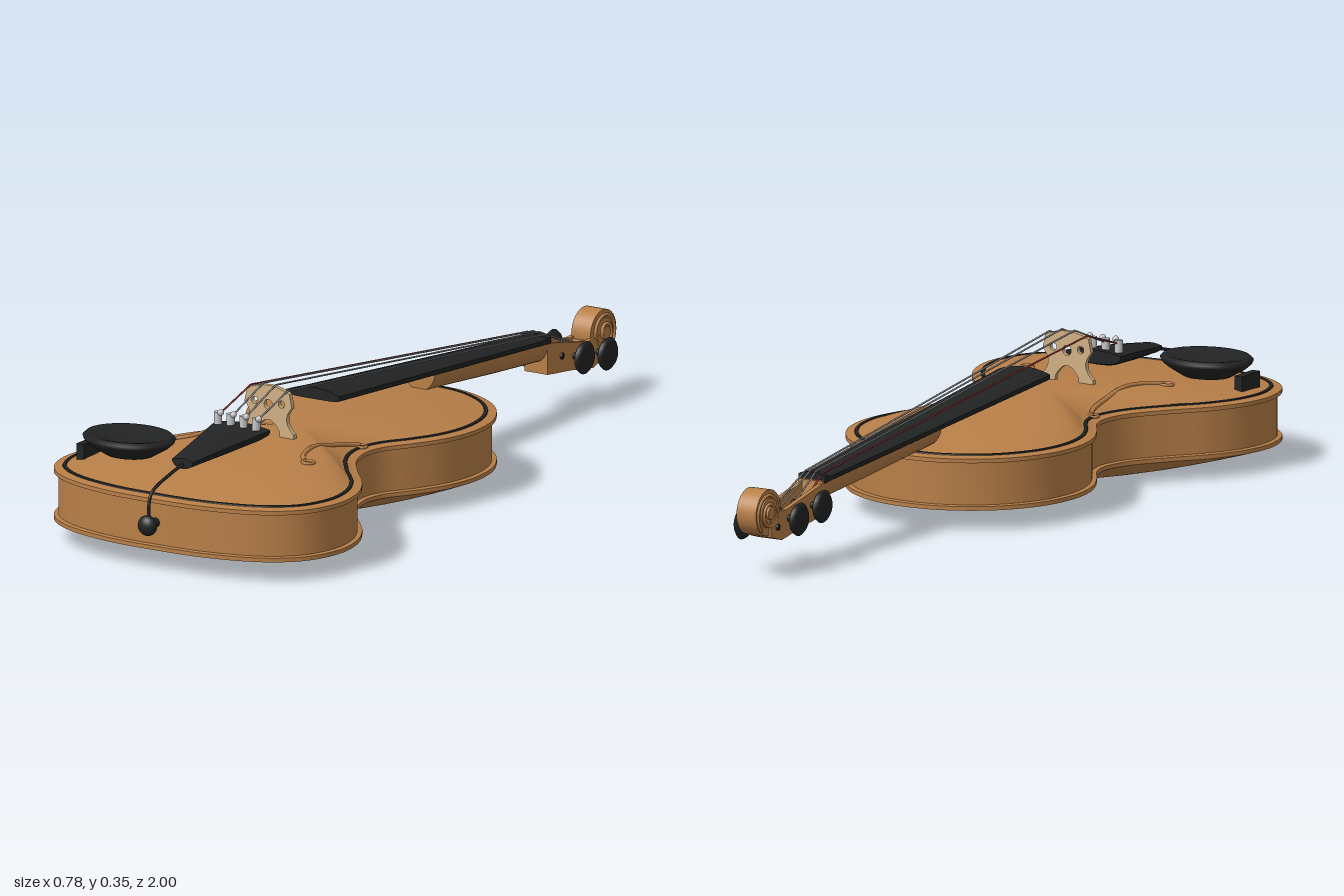
import * as THREE from 'three';
import { toCreasedNormals } from 'three/addons/utils/BufferGeometryUtils.js';

const V = (x, y, z) => new THREE.Vector3(x, y, z);
const paint = (name, color) => {
  const m = new THREE.MeshStandardMaterial({ color });
  m.name = name;
  return m;
};

// Skin a stack of closed rings; optional fan caps at both ends.
function loft(rings, caps = true, crease = 0.6) {
  const n = rings[0].length, pos = [], idx = [];
  rings.flat().forEach(p => pos.push(p.x, p.y, p.z));
  for (let i = 0; i < rings.length - 1; i++)
    for (let j = 0; j < n; j++) {
      const k = (j + 1) % n, a = i * n + j, b = i * n + k;
      idx.push(a, b, a + n, b, b + n, a + n);
    }
  if (caps) [0, rings.length - 1].forEach((r, end) => {
    const c = rings[r].reduce((s, p) => s.add(p), V(0, 0, 0)).divideScalar(n);
    const ci = pos.length / 3;
    pos.push(c.x, c.y, c.z);
    for (let j = 0; j < n; j++) {
      const a = r * n + j, b = r * n + (j + 1) % n;
      end ? idx.push(ci, a, b) : idx.push(ci, b, a);
    }
  });
  const g = new THREE.BufferGeometry();
  g.setAttribute('position', new THREE.Float32BufferAttribute(pos, 3));
  g.setIndex(idx);
  return toCreasedNormals(g, crease);
}

// Cross-section in x/y: arched top, rounded (or boxy, small p) underside.
function section(z, w, top, arch, depth, p = 1) {
  const ring = [], N = 14;
  for (let i = 0; i <= N; i++) {
    const a = Math.PI * (1 + i / N), c = Math.cos(a);
    ring.push(V(Math.sign(c) * w * Math.abs(c) ** p, top - depth * Math.abs(Math.sin(a)) ** p, z));
  }
  for (let i = 1; i < 8; i++) {
    const t = 1 - i / 4;
    ring.push(V(w * t, top + arch * (1 - t * t), z));
  }
  return ring;
}

// Body outline (x, z), one half mirrored into a closed curve.
const HALF = [[0.15, 0.948], [0.28, 0.908], [0.355, 0.845], [0.388, 0.75], [0.378, 0.655], [0.335, 0.565],
  [0.262, 0.475], [0.208, 0.395], [0.188, 0.32], [0.2, 0.26], [0.24, 0.195], [0.28, 0.11], [0.295, 0.01],
  [0.273, -0.1], [0.205, -0.2], [0.1, -0.264]];
const outline = new THREE.CatmullRomCurve3([[0, 0.957], ...HALF, [0, -0.28],
  ...HALF.slice().reverse().map(([x, z]) => [-x, z])].map(([x, z]) => V(x, 0, z)), true);
const STEPS = 160, CZ = 0.34;
const edge = (inset, y) => Array.from({ length: STEPS }, (_, i) => {
  const p = outline.getPointAt(i / STEPS), t = outline.getTangentAt(i / STEPS);
  return V(p.x + t.z * inset, y, p.z - t.x * inset);
});
const shrink = (ring, s, y) => ring.map(p => V(p.x * s, y, CZ + (p.z - CZ) * s));
const domeY = s => 0.18 + 0.042 * (1 - s * s);
const plateEdge = edge(0.03, 0.18);

// Height of the arched top at x, z.
function topY(x, z) {
  const a = Math.atan2(x, z - CZ);
  const near = plateEdge.reduce((best, p) => {
    const d = Math.abs(Math.atan2(p.x, p.z - CZ) - a);
    return d < best.d ? { d, p } : best;
  }, { d: 9 }).p;
  return domeY(Math.min(1, Math.hypot(x, z - CZ) / Math.hypot(near.x, near.z - CZ)));
}

export function createModel() {
  const model = new THREE.Group();
  const wood = paint('varnished wood', 0xb87f48), black = paint('ebony', 0x222324),
    maple = paint('pale maple', 0xd0b084), steel = paint('string steel', 0x8c8c8e),
    silver = paint('silver', 0xc8c8ca), red = paint('red string', 0x96302c);

  const add = (name, geo, mat, x = 0, y = 0, z = 0) => {
    const m = new THREE.Mesh(geo, mat);
    m.name = name;
    m.position.set(x, y, z);
    model.add(m);
    return m;
  };
  const rod = (name, a, b, r, mat) => {
    const d = b.clone().sub(a), mid = a.clone().add(b).multiplyScalar(0.5);
    const m = add(name, new THREE.CylinderGeometry(r, r, d.length(), 8), mat, mid.x, mid.y, mid.z);
    m.quaternion.setFromUnitVectors(V(0, 1, 0), d.normalize());
  };
  const tube = (name, pts, r, mat) =>
    add(name, new THREE.TubeGeometry(new THREE.CatmullRomCurve3(pts), 40, r, 8), mat);

  // Back plate, ribs and arched top
  const scales = [0.02, 0.15, 0.3, 0.45, 0.6, 0.72, 0.83, 0.92, 1], rim = edge(0, 0);
  add('back', loft([...scales.map(s => shrink(rim, s, 0.05 * s * s)), edge(0, 0.06), edge(0.012, 0.062)]), wood);
  add('ribs', loft([edge(0.011, 0.055), edge(0.011, 0.17)], false), wood);
  add('top', loft([edge(0.012, 0.164), edge(0, 0.165), edge(0, 0.175), plateEdge,
    ...scales.slice(0, -1).reverse().map(s => shrink(plateEdge, s, domeY(s)))]), wood);
  add('purfling', loft([edge(0.021, 0.179), edge(0.022, 0.1815), edge(0.03, 0.182), edge(0.031, 0.179)], false), black);

  // Sound holes
  for (const s of [-1, 1]) {
    const path = [[0.155, 0.305], [0.142, 0.34], [0.136, 0.4], [0.14, 0.48], [0.158, 0.55], [0.185, 0.585]]
      .map(([x, z]) => V(s * x, topY(s * x, z) + 0.001, z));
    tube('soundHole', path, 0.006, wood);
    for (const [x, z, r] of [[0.163, 0.305, 0.011], [0.195, 0.585, 0.014]])
      add('soundHoleEnd', new THREE.TorusGeometry(r, 0.004, 8, 20).rotateX(Math.PI / 2), wood,
        s * x, topY(s * x, z) + 0.001, z);
  }

  // Neck, fingerboard and nut
  add('neck', loft([section(-0.71, 0.034, 0.194, 0, 0.055), section(-0.5, 0.038, 0.21, 0, 0.055),
    section(-0.3, 0.043, 0.228, 0, 0.055), section(-0.19, 0.046, 0.238, 0, 0.056)]), wood);
  add('fingerboard', loft([section(-0.69, 0.037, 0.2, 0.008, 0.013, 0.3),
    section(0.26, 0.07, 0.279, 0.012, 0.016, 0.3)]), black);
  add('nut', loft([section(-0.703, 0.037, 0.205, 0.007, 0.02, 0.3),
    section(-0.688, 0.037, 0.205, 0.007, 0.02, 0.3)]), black);

  // Open pegbox: side profiles in z/y extruded across x
  const plate = (name, pts, x, thick) => add(name, new THREE.ExtrudeGeometry(
    new THREE.Shape(pts.map(p => new THREE.Vector2(...p))), { depth: thick, bevelEnabled: false })
    .rotateY(-Math.PI / 2).translate(thick / 2, 0, 0), wood, x);
  for (const s of [-1, 1])
    plate('pegboxCheek', [[-0.695, 0.19], [-0.695, 0.112], [-0.8, 0.1], [-0.89, 0.085], [-0.94, 0.1],
      [-0.94, 0.16], [-0.87, 0.155]], s * 0.027, 0.011);
  plate('pegboxFloor', [[-0.695, 0.19], [-0.695, 0.112], [-0.8, 0.1], [-0.89, 0.085], [-0.94, 0.1],
    [-0.94, 0.155], [-0.885, 0.15], [-0.87, 0.11], [-0.72, 0.13], [-0.71, 0.19]], 0, 0.046);

  // Scroll with stepped eye and spiral relief
  const SY = 0.16, SZ = -0.943;
  for (const [r, w] of [[0.056, 0.054], [0.036, 0.062], [0.016, 0.074]])
    add('scroll', new THREE.CylinderGeometry(r, r, w, 36).rotateZ(Math.PI / 2), wood, 0, SY, SZ);
  for (const s of [-1, 1])
    tube('scrollSpiral', Array.from({ length: 30 }, (_, i) => {
      const t = i / 29, a = -2.2 - t * 11, r = 0.051 - 0.036 * t;
      return V(s * (0.027 + 0.008 * t), SY + r * Math.sin(a), SZ + r * Math.cos(a));
    }), 0.004, wood);

  // Tuning pegs
  const pegProfile = [[0, -0.035], [0.008, -0.035], [0.008, 0.038], [0.016, 0.047], [0.036, 0.056],
    [0.04, 0.063], [0.032, 0.07], [0, 0.071]].map(p => new THREE.Vector2(...p));
  const pegs = [[-1, -0.755, 0.145], [1, -0.81, 0.133], [-1, -0.86, 0.133], [1, -0.91, 0.12]];
  for (const [s, z, y] of pegs)
    add('peg', new THREE.LatheGeometry(pegProfile, 24).rotateZ(-s * Math.PI / 2), black, 0, y, z);

  // Bridge with cut-outs
  const b = new THREE.Shape();
  b.moveTo(-0.072, 0.212);
  b.lineTo(-0.034, 0.212);
  b.lineTo(-0.032, 0.232);
  b.quadraticCurveTo(0, 0.285, 0.032, 0.232);
  b.lineTo(0.034, 0.212);
  b.lineTo(0.072, 0.212);
  b.lineTo(0.072, 0.23);
  b.quadraticCurveTo(0.035, 0.262, 0.067, 0.295);
  b.lineTo(0.06, 0.328);
  b.quadraticCurveTo(0, 0.356, -0.06, 0.328);
  b.lineTo(-0.067, 0.295);
  b.quadraticCurveTo(-0.035, 0.262, -0.072, 0.23);
  for (const [x, y, r] of [[0, 0.295, 0.012], [-0.038, 0.3, 0.009], [0.038, 0.3, 0.009]])
    b.holes.push(new THREE.Path().absarc(x, y, r, 0, Math.PI * 2, true));
  add('bridge', new THREE.ExtrudeGeometry(b, { depth: 0.012, bevelEnabled: false, curveSegments: 12 }), maple, 0, 0, 0.449);

  // Tailpiece, tail cord and end button
  add('tailpiece', loft([section(0.568, 0.076, 0.267, 0.008, 0.025, 0.7), section(0.59, 0.074, 0.265, 0.01, 0.03, 0.8),
    section(0.7, 0.053, 0.254, 0.01, 0.03), section(0.83, 0.03, 0.24, 0.005, 0.02)]), black);
  tube('tailCord', [V(0, 0.234, 0.81), V(0, 0.22, 0.88), V(0, 0.192, 0.962), V(0, 0.165, 0.975), V(0, 0.115, 0.972)], 0.004, black);
  add('endButton', new THREE.SphereGeometry(0.025, 24, 16).scale(1, 1, 0.75), black, 0, 0.115, 0.981);
  rod('endPin', V(0, 0.115, 0.93), V(0, 0.115, 0.98), 0.012, black);

  // Strings with fine tuners
  [-1.5, -0.5, 0.5, 1.5].forEach((k, i) => {
    const mat = i ? steel : red, outer = Math.abs(k) > 1;
    const tail = V(k * 0.036, 0.292, 0.59), crown = V(k * 0.035, outer ? 0.335 : 0.344, 0.455),
      nut = V(k * 0.016, outer ? 0.21 : 0.214, -0.695), peg = V(k * 0.009, pegs[i][2] + 0.008, pegs[i][1]);
    rod('string', tail, crown, 0.0022, mat);
    rod('string', crown, nut, 0.0022, mat);
    rod('string', nut, peg, 0.0022, mat);
    add('fineTuner', new THREE.CylinderGeometry(0.01, 0.01, 0.03, 16), silver, tail.x, 0.285, 0.595);
    add('fineTunerHead', new THREE.SphereGeometry(0.008, 12, 8), silver, tail.x + 0.011, 0.3, 0.6);
  });

  // Chin rest: oval dish and clamp
  const dish = [[0, 0.2], [0.06, 0.205], [0.1, 0.228], [0.114, 0.24], [0.117, 0.248], [0.108, 0.256],
    [0.095, 0.254], [0.05, 0.243], [0, 0.24]].map(p => new THREE.Vector2(...p));
  add('chinRest', new THREE.LatheGeometry(dish, 40).scale(1, 1, 0.8), black, -0.21, 0, 0.74);
  add('chinRestClamp', new THREE.BoxGeometry(0.021, 0.045, 0.08), black, -0.322, 0.2, 0.74);

  return model;
}
